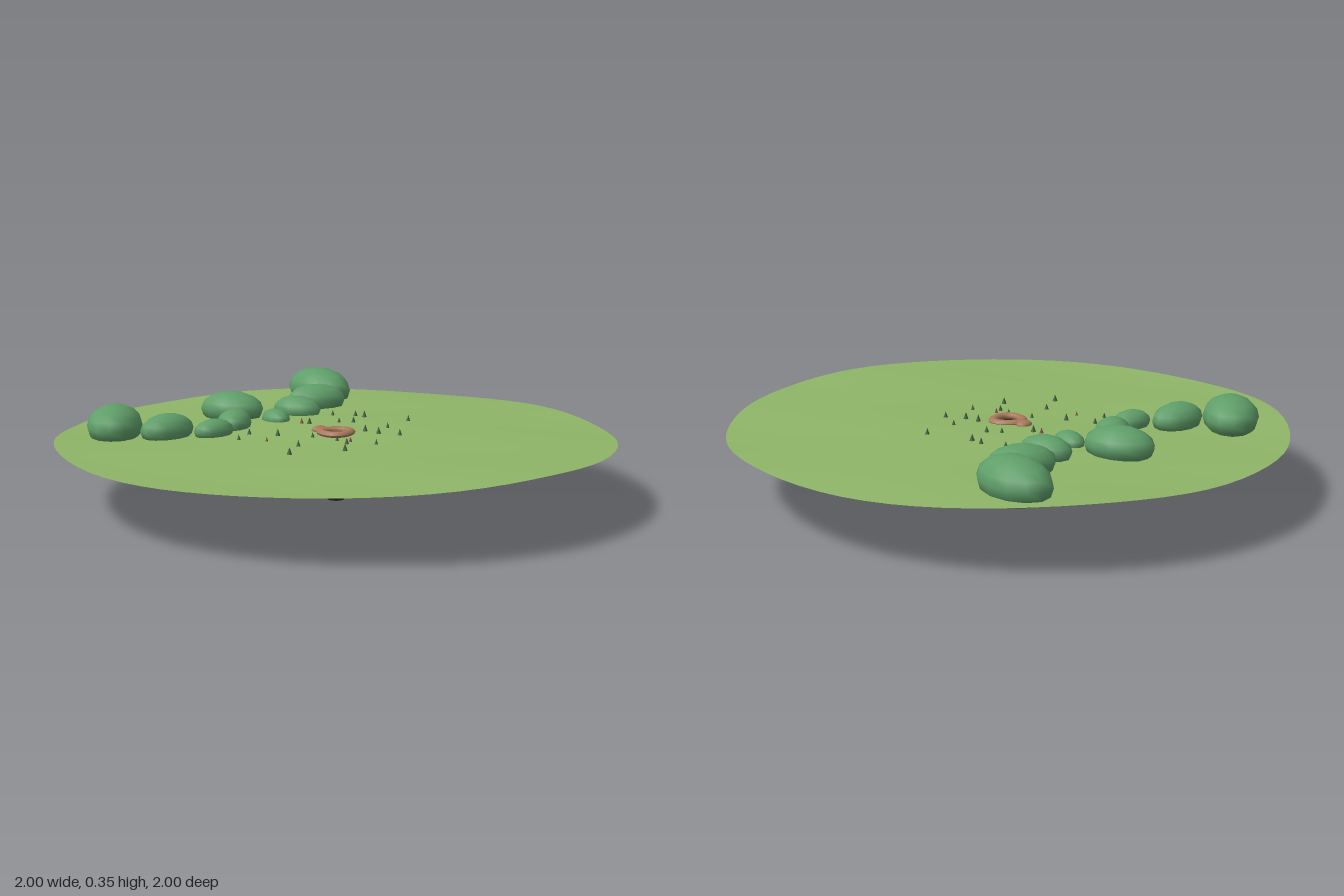
import * as THREE from 'three';

const mat = (name, color, side = THREE.FrontSide) => {
  const m = new THREE.MeshStandardMaterial({ color, side });
  m.name = name;
  return m;
};

// gentle swell of the meadow
const groundY = (x, z) =>
  0.235 + 0.006 * Math.sin(3.2 * x + 1.5 * z + 0.6) + 0.005 * Math.sin(5.5 * z - 2 * x + 2.6) + 0.002 * Math.sin(9 * x - 4 * z);

export function createModel() {
  const model = new THREE.Group();
  const grass = mat('meadow green', 0x8fb568, THREE.DoubleSide);
  const leaf = mat('bush green', 0x5f9e69);
  const clay = mat('clay rim', 0xa8795c);
  const earth = mat('dark earth', 0x3b2a20, THREE.DoubleSide);
  const sprig = mat('sprig green', 0x3f5f3a);
  const bud = mat('bud red brown', 0x8a4a3a);

  const add = (name, geometry, material, parent = model) => {
    const mesh = new THREE.Mesh(geometry, material);
    mesh.name = name;
    parent.add(mesh);
    return mesh;
  };

  // round meadow with a hole for the burrow
  const disc = new THREE.RingGeometry(0.046, 1, 72, 28).rotateX(-Math.PI / 2);
  const p = disc.attributes.position;
  for (let i = 0; i < p.count; i++) p.setY(i, groundY(p.getX(i), p.getZ(i)));
  disc.computeVertexNormals();
  add('meadow', disc, grass);

  // burrow shaft, closed at the bottom
  const shaft = [[0, 0], [0.03, 0], [0.034, 0.06], [0.038, 0.13], [0.042, 0.195], [0.05, 0.245]];
  add('burrowShaft', new THREE.LatheGeometry(shaft.map(([r, y]) => new THREE.Vector2(r, y)), 16), earth);

  // slightly uneven clay rim
  const rimGeo = new THREE.TorusGeometry(0.053, 0.017, 10, 28).rotateX(Math.PI / 2);
  const rp = rimGeo.attributes.position;
  for (let i = 0; i < rp.count; i++) {
    const a = Math.atan2(rp.getZ(i), rp.getX(i));
    const s = 1 + 0.05 * Math.sin(3 * a + 0.8);
    rp.setXYZ(i, rp.getX(i) * s, rp.getY(i) * 0.7, rp.getZ(i) * s);
  }
  rimGeo.computeVertexNormals();
  add('burrowRim', rimGeo, clay).position.y = 0.246;

  // small heap of dug-out clay behind the rim
  const heap = add('clayHeap', new THREE.SphereGeometry(0.032, 12, 8), clay);
  heap.scale.set(1, 0.5, 0.8);
  heap.position.set(0, 0.244, -0.082);

  // bushes: x, z, half length, half width, half height, centre height, turn
  const bushes = new THREE.Group();
  bushes.name = 'bushes';
  model.add(bushes);
  [
    [-0.54, -0.58, 0.148, 0.1, 0.075, 0.272, 0.75],
    [-0.42, -0.435, 0.11, 0.074, 0.058, 0.258, 0.02],
    [-0.29, -0.33, 0.08, 0.054, 0.042, 0.25, -0.08],
    [-0.14, -0.38, 0.092, 0.063, 0.049, 0.253, 0.65],
    [0.005, -0.545, 0.127, 0.088, 0.066, 0.266, 1.9],
    [0.045, -0.35, 0.07, 0.047, 0.037, 0.246, 1.3],
    [0.205, -0.395, 0.098, 0.067, 0.052, 0.256, 1.8],
    [0.38, -0.46, 0.118, 0.08, 0.062, 0.263, -0.52],
    [0.555, -0.61, 0.157, 0.102, 0.081, 0.273, 1.42],
  ].forEach(([x, z, l, w, h, y, turn], i) => {
    const bush = add(`bush${i + 1}`, new THREE.SphereGeometry(1, 12, 8), leaf, bushes);
    bush.scale.set(l, h, w);
    bush.position.set(x, y, z);
    bush.rotation.y = turn;
  });

  // sprigs and buds scattered about the burrow
  const sprigs = new THREE.Group();
  sprigs.name = 'sprigs';
  model.add(sprigs);
  const tip = new THREE.ConeGeometry(0.008, 0.022, 6);
  const scatter = (name, material, size, spots) => spots.forEach(([x, z], i) => {
    const mesh = add(`${name}${i + 1}`, tip, material, sprigs);
    const s = size * (0.85 + 0.15 * (i % 3));
    mesh.scale.setScalar(s);
    mesh.position.set(x, groundY(x, z) + 0.013 * s, z);
  });
  scatter('sprig', sprig, 1, [
    [-0.3, -0.19], [-0.21, -0.23], [-0.165, -0.13], [-0.1, -0.02], [-0.235, 0.04], [-0.35, 0.11],
    [-0.08, 0.08], [-0.095, 0.14], [-0.18, 0.21], [-0.03, 0.22], [0.13, 0.19], [0.095, 0.12],
    [0.19, 0.08], [0.34, 0.05], [0.09, 0.06], [0.14, -0.115], [0.175, -0.075], [0.285, -0.12],
    [0.245, -0.245], [0.285, -0.165], [0.05, -0.18],
  ]);
  scatter('bud', bud, 0.8, [[-0.25, -0.1], [-0.06, 0.125], [0.04, -0.21]]);

  return model;
}
